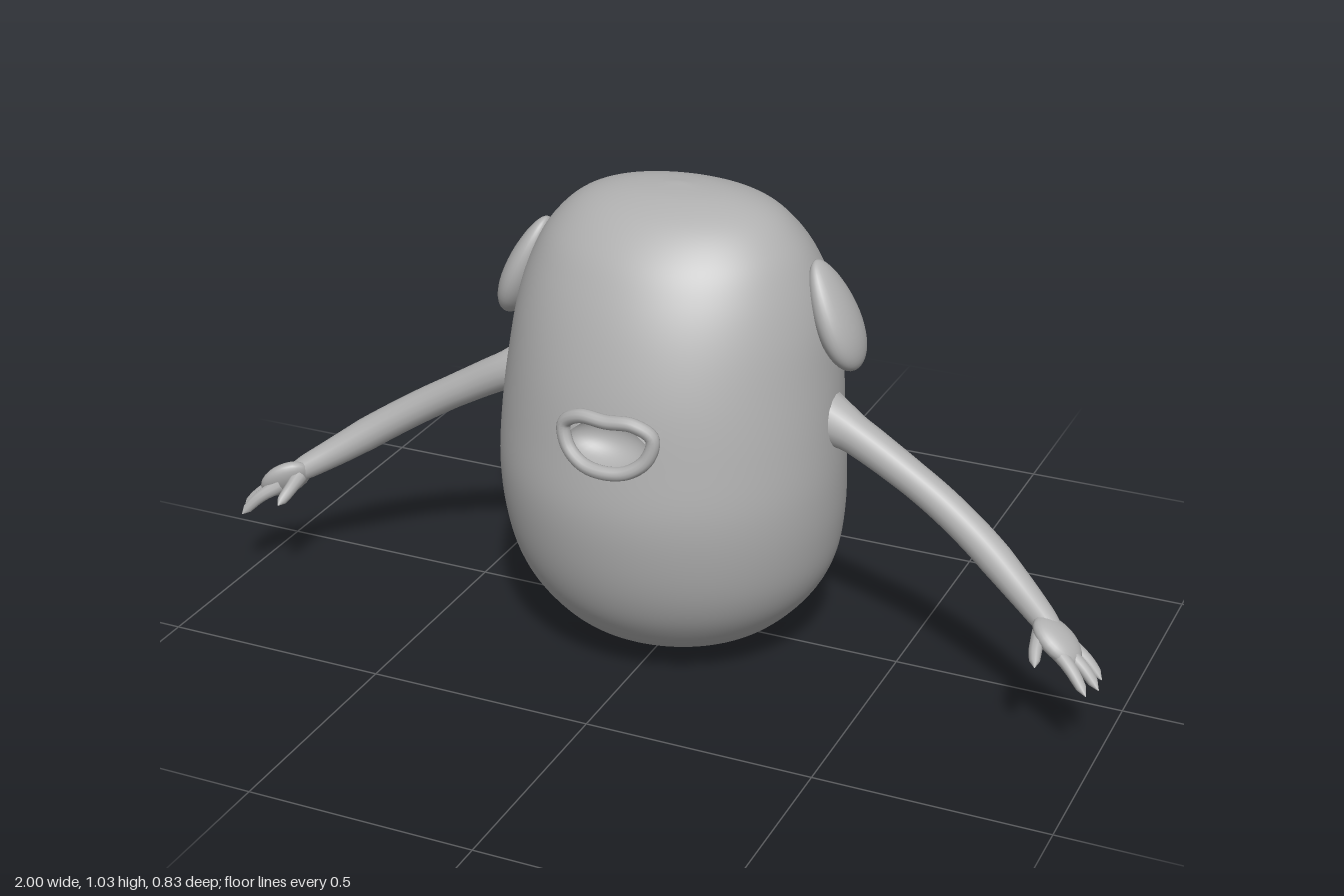
import * as THREE from 'three';
import { mergeVertices } from 'three/addons/utils/BufferGeometryUtils.js';

const V = (x, y, z) => new THREE.Vector3(x, y, z);

// Body sections: height, half width, front z, back z
const SECTIONS = [
  [0, 0, 0.03, 0.03], [0.005, 0.08, 0.09, -0.04], [0.028, 0.16, 0.17, -0.12], [0.07, 0.24, 0.26, -0.19],
  [0.14, 0.31, 0.325, -0.255], [0.22, 0.352, 0.367, -0.288], [0.32, 0.371, 0.394, -0.295],
  [0.43, 0.375, 0.405, -0.288], [0.55, 0.368, 0.393, -0.28], [0.67, 0.356, 0.374, -0.288],
  [0.78, 0.34, 0.342, -0.275], [0.87, 0.31, 0.302, -0.23], [0.94, 0.27, 0.255, -0.18],
  [0.995, 0.21, 0.19, -0.12], [1.024, 0.125, 0.115, -0.045], [1.035, 0, 0.03, 0.03],
];

// Openings: a vertex inside one is pushed to its rim
const legHole = (s) => (p) => {
  const c = V(s * 0.193, 0.036, 0.03);
  const d = p.clone().sub(c);
  const len = d.length();
  if (len >= 0.062) return false;
  if (len > 1e-5) p.copy(c).addScaledVector(d, 0.062 / len);
  return true;
};
const mouthHole = (p) => {
  const dx = p.x / 0.088, dy = (p.y - 0.59) / 0.048, len = Math.hypot(dx, dy);
  if (p.z < 0.2 || len >= 1) return false;
  if (len > 1e-5) {
    p.x /= len;
    p.y = 0.59 + (p.y - 0.59) / len;
  }
  return true;
};

function bodyGeometry() {
  const rows = 105, cols = 96;
  const front = new THREE.CatmullRomCurve3(SECTIONS.map(([y, w, f]) => V(w, y, f)), false, 'catmullrom');
  const back = new THREE.CatmullRomCurve3(SECTIONS.map(([y, w, , b]) => V(w, y, b)), false, 'catmullrom');
  const holes = [legHole(1), legHole(-1), mouthHole];
  const pos = [], inside = [], index = [];
  for (let i = 0; i <= rows; i++) {
    const f = front.getPoint(i / rows), b = back.getPoint(i / rows);
    const mid = (f.z + b.z) / 2, half = (f.z - b.z) / 2;
    const w = i === 0 || i === rows ? 0 : f.x;
    for (let j = 0; j < cols; j++) {
      const a = (j / cols) * Math.PI * 2;
      const p = V(w * Math.sin(a), Math.max(0, f.y), mid + half * Math.cos(a));
      inside.push(holes.some((hole) => hole(p)));
      pos.push(p.x, p.y, p.z);
    }
  }
  const face = (...t) => { if (!t.every((k) => inside[k])) index.push(...t); };
  for (let i = 0; i < rows; i++) {
    for (let j = 0; j < cols; j++) {
      const a = i * cols + j, b = i * cols + (j + 1) % cols;
      if (i > 0) face(a, b, b + cols);
      if (i < rows - 1) face(a, b + cols, a + cols);
    }
  }
  const geo = new THREE.BufferGeometry();
  geo.setAttribute('position', new THREE.Float32BufferAttribute(pos, 3));
  geo.setIndex(index);
  const merged = mergeVertices(geo, 1e-5);
  merged.computeVertexNormals();
  return merged;
}

// Tube whose radius follows a list of values along its length
function taperTube(points, radii, segs = 32, sides = 16) {
  const curve = new THREE.CatmullRomCurve3(points);
  const geo = new THREE.TubeGeometry(curve, segs, 1, sides);
  const pos = geo.attributes.position, p = V(0, 0, 0);
  for (let i = 0; i <= segs; i++) {
    const c = curve.getPointAt(i / segs);
    const t = (i / segs) * (radii.length - 1), k = Math.min(Math.floor(t), radii.length - 2);
    const r = THREE.MathUtils.lerp(radii[k], radii[k + 1], t - k);
    for (let j = 0; j <= sides; j++) {
      const n = i * (sides + 1) + j;
      p.fromBufferAttribute(pos, n).sub(c).multiplyScalar(r).add(c);
      pos.setXYZ(n, p.x, p.y, p.z);
    }
  }
  return geo;
}

// Drooping ear, broad at the bottom and narrow at the root
function earGeometry() {
  const geo = new THREE.SphereGeometry(1, 32, 24);
  const pos = geo.attributes.position;
  for (let i = 0; i < pos.count; i++) {
    const y = pos.getY(i), k = 1 - 0.2 * y;
    pos.setXYZ(i, pos.getX(i) * 0.04 * k, y * 0.122, pos.getZ(i) * 0.071 * k);
  }
  geo.computeVertexNormals();
  return geo;
}

export function createModel() {
  const group = new THREE.Group();
  const skin = new THREE.MeshStandardMaterial({ color: 0xb0b0b0, side: THREE.DoubleSide });
  skin.name = 'grey skin';
  const add = (name, geo, parent = group) => {
    const mesh = new THREE.Mesh(geo, skin);
    mesh.name = name;
    parent.add(mesh);
    return mesh;
  };

  add('body', bodyGeometry());

  // Mouth: raised lips around a hollow pocket
  const lipHalf = [[0.06, 0.643, 0.385], [0.098, 0.618, 0.378], [0.088, 0.572, 0.385], [0.05, 0.542, 0.396]];
  const lipPath = [
    V(0, 0.642, 0.389), ...lipHalf.map(([x, y, z]) => V(x, y, z)),
    V(0, 0.534, 0.401), ...lipHalf.slice().reverse().map(([x, y, z]) => V(-x, y, z)),
  ];
  add('lips', new THREE.TubeGeometry(new THREE.CatmullRomCurve3(lipPath, true), 64, 0.015, 12, true));
  const pocket = new THREE.SphereGeometry(1, 32, 12, 0, Math.PI * 2, 0, Math.PI / 2);
  pocket.rotateX(-Math.PI / 2).scale(0.097, 0.055, 0.06).translate(0, 0.59, 0.384);
  add('mouthPocket', pocket);

  // Tail curling up to a point
  add('tail', taperTube(
    [V(0, 0.19, -0.26), V(0, 0.18, -0.3), V(0, 0.195, -0.345), V(0, 0.24, -0.388), V(0, 0.306, -0.416)],
    [0.065, 0.037, 0.031, 0.025, 0.016, 0.001]));

  for (const s of [1, -1]) {
    const side = s > 0 ? 'left' : 'right';
    const P = (x, y, z) => V(s * x, y, z);

    const ear = add(side + 'Ear', earGeometry());
    ear.position.set(s * 0.352, 0.797, 0.03);
    ear.rotation.z = s * 0.4;

    const arm = new THREE.Group();
    arm.name = side + 'Arm';
    group.add(arm);
    add('limb', taperTube(
      [P(0.33, 0.575, 0.04), P(0.4, 0.545, 0.042), P(0.5, 0.49, 0.045), P(0.6, 0.432, 0.055),
        P(0.7, 0.37, 0.08), P(0.8, 0.305, 0.122), P(0.87, 0.262, 0.16), P(0.92, 0.23, 0.188)],
      [0.06, 0.042, 0.039, 0.037, 0.037, 0.037, 0.037, 0.033, 0.028, 0.015], 48), arm);

    const palm = add('palm', new THREE.SphereGeometry(1, 24, 16), arm);
    palm.scale.set(0.062, 0.025, 0.046);
    palm.position.copy(P(0.9, 0.243, 0.185));
    palm.quaternion.setFromUnitVectors(V(1, 0, 0), P(0.8, -0.55, 0.25).normalize());

    // Three fingers and a thumb: root, knuckle, tip
    const digits = [
      [P(0.905, 0.238, 0.165), P(0.955, 0.205, 0.168), P(0.993, 0.166, 0.172)],
      [P(0.905, 0.238, 0.188), P(0.96, 0.203, 0.202), P(0.998, 0.164, 0.212)],
      [P(0.9, 0.238, 0.205), P(0.945, 0.207, 0.23), P(0.982, 0.166, 0.248)],
      [P(0.865, 0.255, 0.185), P(0.868, 0.236, 0.228), P(0.877, 0.214, 0.26)],
    ];
    digits.forEach((pts, i) => add(i < 3 ? 'finger' + (i + 1) : 'thumb',
      taperTube(pts, [0.018, 0.017, 0.015, 0.014, 0.013, 0.011, 0.001], 18, 10), arm));
  }
  return group;
}
